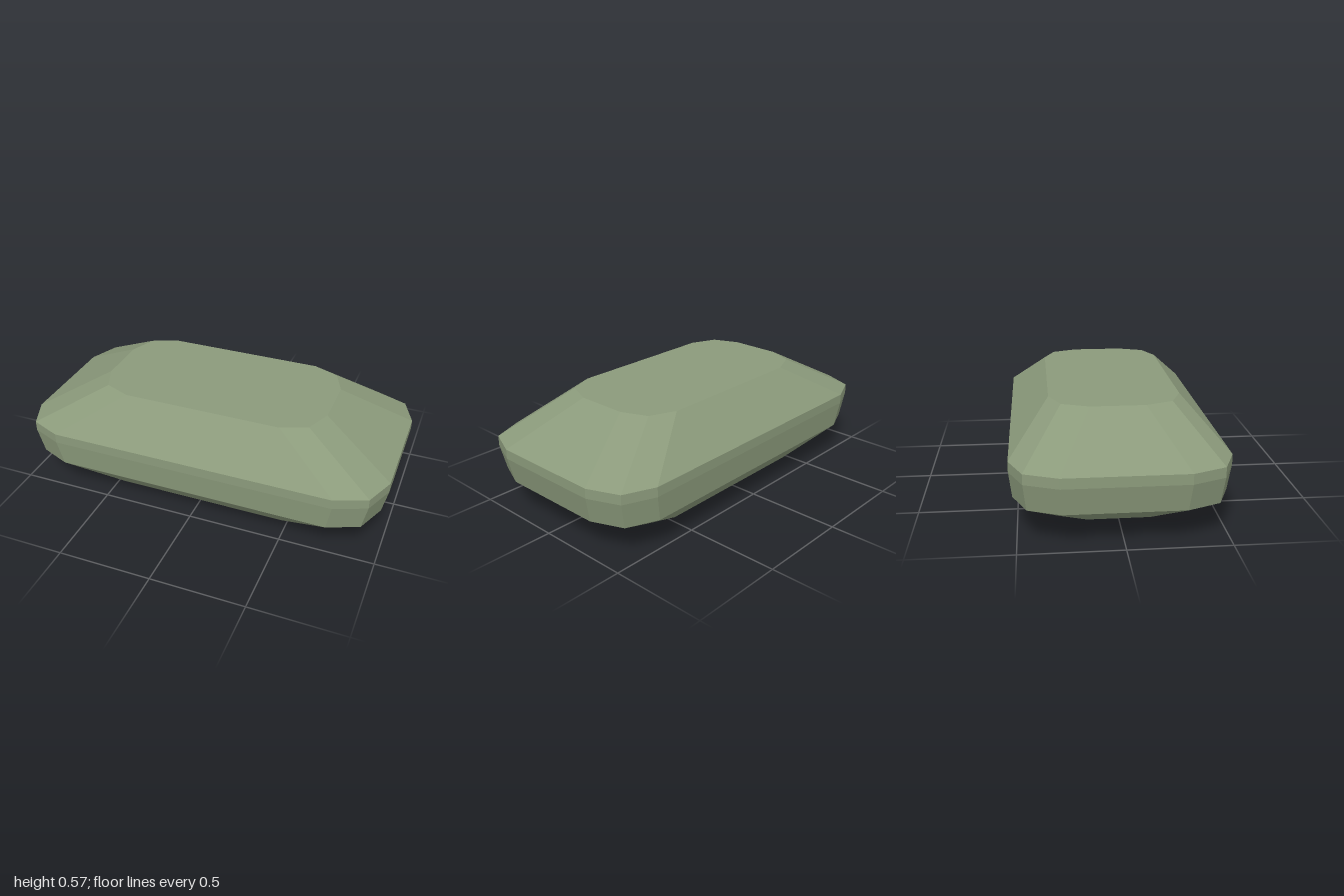
import * as THREE from 'three';

// Outline of a rectangle with rounded corners, three points per corner
function ring({ y, x, z, r }) {
  const points = [];
  const centres = [[1, 1], [-1, 1], [-1, -1], [1, -1]];
  centres.forEach(([sx, sz], corner) => {
    for (let k = 0; k <= 2; k++) {
      const a = (corner + k / 2) * Math.PI / 2;
      points.push(new THREE.Vector3(
        sx * (x - r) + r * Math.cos(a), y, sz * (z - r) + r * Math.sin(a)));
    }
  });
  return points;
}

// Joins the rings from bottom to top and closes both ends
function loft(sections) {
  const rings = sections.map(ring);
  const corners = [];
  const n = rings[0].length;
  const bottom = new THREE.Vector3(0, sections[0].y, 0);
  const top = new THREE.Vector3(0, sections.at(-1).y, 0);
  for (let j = 0; j < n; j++) {
    const k = (j + 1) % n;
    for (let i = 0; i < rings.length - 1; i++) {
      const a = rings[i][j], b = rings[i][k];
      const c = rings[i + 1][k], d = rings[i + 1][j];
      corners.push(a, d, c, a, c, b);
    }
    corners.push(bottom, rings[0][j], rings[0][k]);
    corners.push(top, rings.at(-1)[k], rings.at(-1)[j]);
  }
  const geometry = new THREE.BufferGeometry().setFromPoints(corners);
  geometry.computeVertexNormals();
  return geometry;
}

export function createModel() {
  const group = new THREE.Group();
  group.name = 'facetedStone';

  const sage = new THREE.MeshStandardMaterial({ color: 0x8b9a7b, flatShading: true });
  sage.name = 'sage green';

  // Bevelled slab: flat base, flared underside, narrow rim, sloping crown
  const stone = new THREE.Mesh(loft([
    { y: 0, x: 0.66, z: 0.353, r: 0.195 },
    { y: 0.172, x: 0.97, z: 0.518, r: 0.23 },
    { y: 0.31, x: 1, z: 0.533, r: 0.233 },
    { y: 0.362, x: 1, z: 0.533, r: 0.233 },
    { y: 0.573, x: 0.62, z: 0.332, r: 0.195 },
  ]), sage);
  stone.name = 'stoneBody';
  group.add(stone);

  return group;
}
